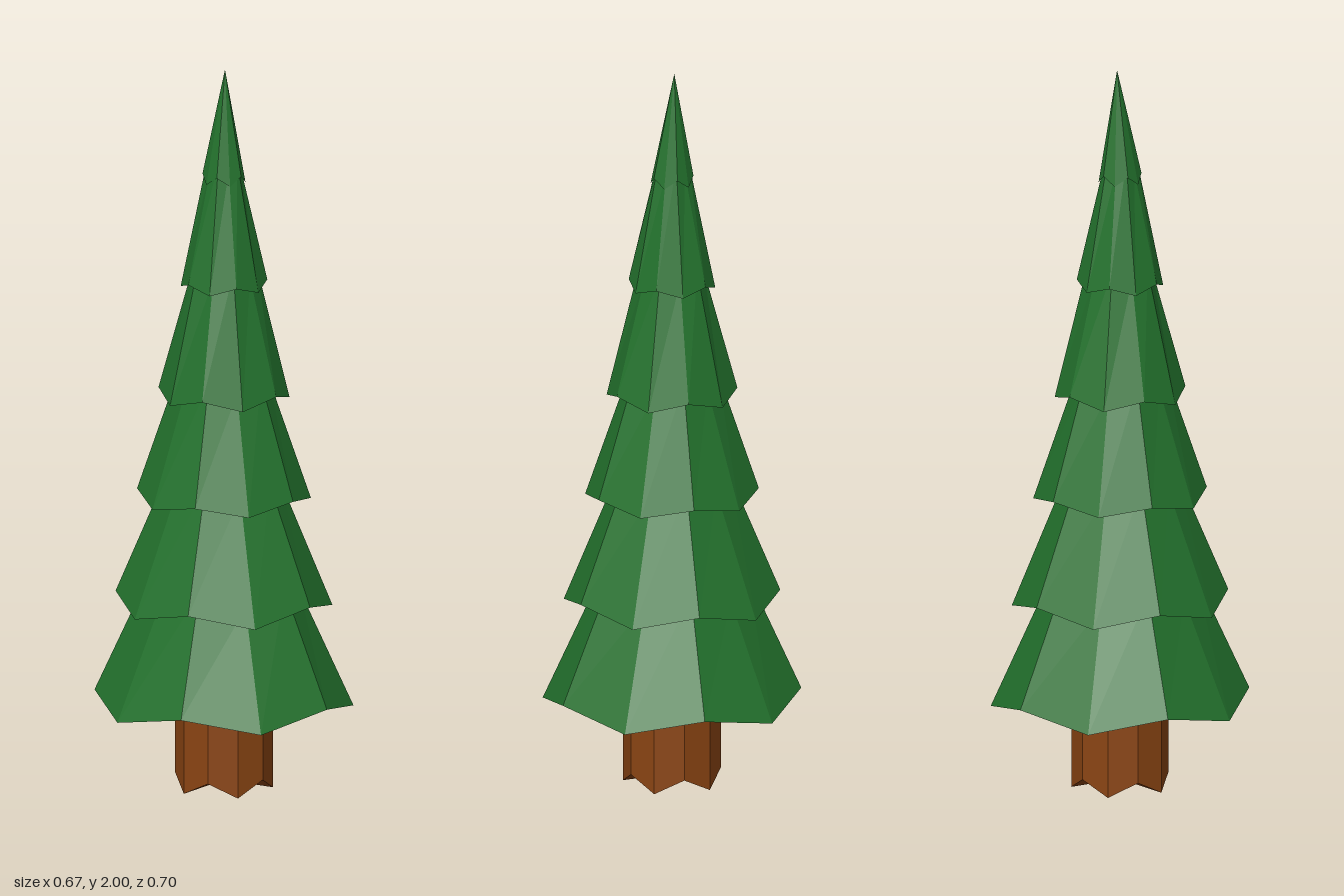
import * as THREE from 'three';

const SIDES = 10;

// Faceted shell through rings [radius, height, zigzag]; every second corner is raised, the others lowered.
function ringShell(rings, tipZ = 0) {
  const corner = ([r, y, zig], i) => {
    const a = (i / SIDES) * Math.PI * 2;
    return [r * Math.sin(a), y + (i % 2 ? -zig : zig), r === 0 ? tipZ : r * Math.cos(a)];
  };
  const pos = [];
  for (let k = 0; k < rings.length - 1; k++) {
    const low = rings[k], high = rings[k + 1];
    for (let i = 0; i < SIDES; i++) {
      const a = corner(low, i), b = corner(low, i + 1);
      const c = corner(high, i + 1), d = corner(high, i);
      if (low[0] > 0) pos.push(...a, ...b, ...c);
      if (high[0] > 0) pos.push(...a, ...c, ...d);
    }
  }
  const geo = new THREE.BufferGeometry();
  geo.setAttribute('position', new THREE.Float32BufferAttribute(pos, 3));
  geo.computeVertexNormals();
  return geo;
}

export function createModel() {
  const tree = new THREE.Group();
  tree.name = 'pineTree';
  const bark = new THREE.MeshStandardMaterial({ color: 0x8b4513, flatShading: true });
  const needles = new THREE.MeshStandardMaterial({ color: 0x23722d, flatShading: true });

  const add = (name, geo, mat) => {
    const mesh = new THREE.Mesh(geo, mat);
    mesh.name = name;
    tree.add(mesh);
  };

  // Trunk with a jagged foot
  add('trunk', ringShell([[0, 0.02, 0], [0.132, 0.02, 0.02], [0.132, 0.3, 0.02]]), bark);

  // Branch tiers: rim radius, rim height, zigzag, neck radius at the top
  const tiers = [
    [0.35, 0.25, 0.02, 0.205],
    [0.293, 0.528, 0.018, 0.155],
    [0.235, 0.82, 0.012, 0.125],
    [0.177, 1.102, 0.013, 0.088],
    [0.117, 1.407, -0.01, 0.045],
    [0.058, 1.7, 0.012, 0],
  ];
  let innerRadius = 0.132;
  tiers.forEach(([rim, y, zig, neck], i) => {
    const next = tiers[i + 1];
    const top = next ? [neck, next[1] + 0.04, next[2]] : [0, 2, 0];
    // Underside, rim, then the sloping outer face
    add(`branchTier${i + 1}`, ringShell([[innerRadius, y + 0.04, zig], [rim, y, zig], top], -0.008), needles);
    innerRadius = neck;
  });

  return tree;
}
